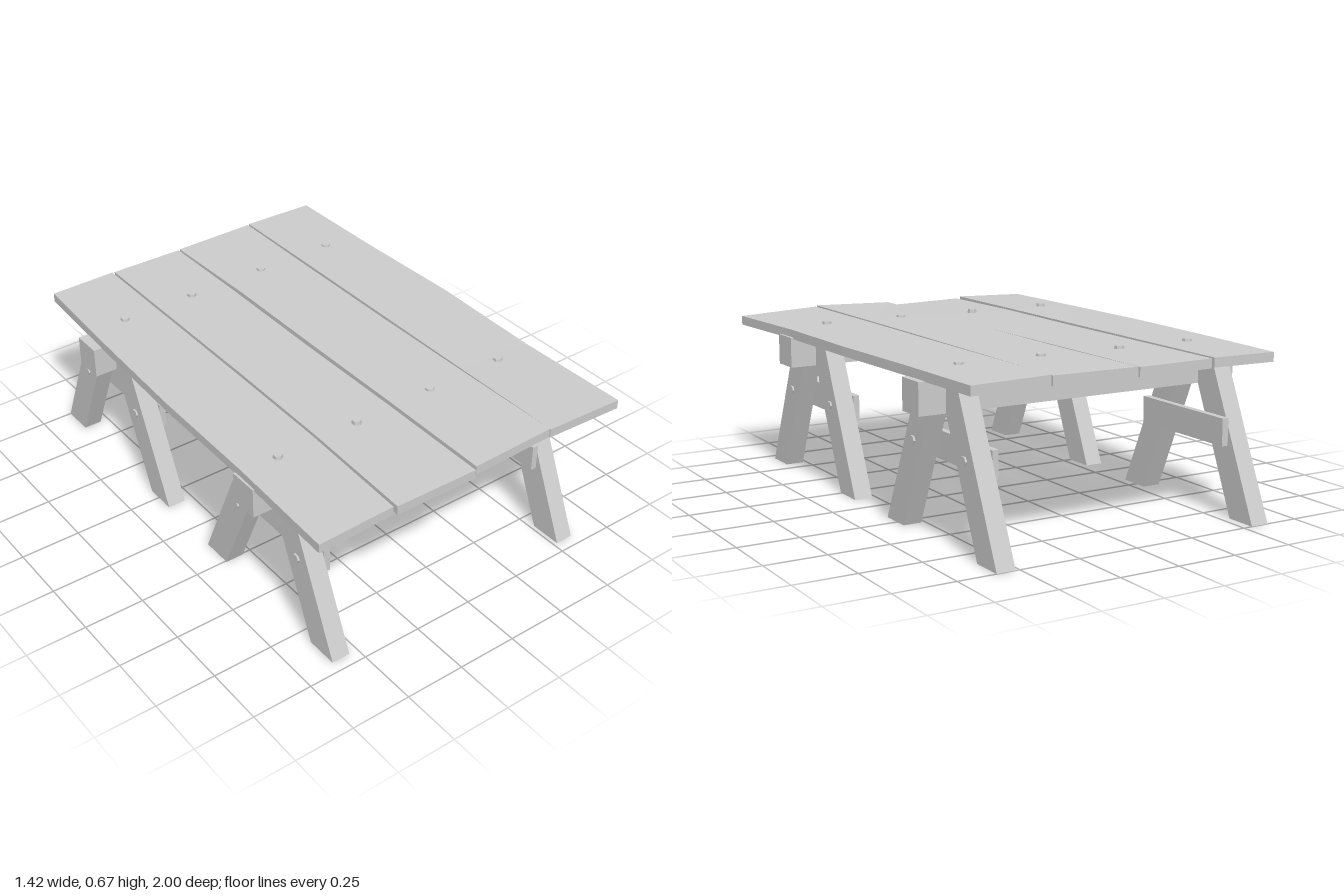
import * as THREE from 'three';

const material = new THREE.MeshStandardMaterial({ color: 0xcccccc, flatShading: true });

function add(parent, name, geometry, x = 0, y = 0, z = 0) {
  const mesh = new THREE.Mesh(geometry, material);
  mesh.name = name;
  mesh.position.set(x, y, z);
  parent.add(mesh);
  return mesh;
}

// Box spanning the given limits
function addBox(parent, name, x0, x1, y0, y1, z0, z1) {
  const geometry = new THREE.BoxGeometry(x1 - x0, y1 - y0, z1 - z0);
  return add(parent, name, geometry, (x0 + x1) / 2, (y0 + y1) / 2, (z0 + z1) / 2);
}

const boltGeometry = new THREE.CylinderGeometry(0.018, 0.023, 0.034, 6);

// Stations along each plank, from back to front
const STATIONS = [-0.96, -0.5, 0, 0.5, 1];
const THICKNESS = 0.038;

// Left and right edges in x, and the height of the top along each edge
const PLANKS = [
  {
    x0: [-0.65, -0.675, -0.695, -0.70, -0.715], x1: [-0.365, -0.367, -0.37, -0.376, -0.393],
    y0: [0.660, 0.660, 0.659, 0.656, 0.650], y1: [0.664, 0.664, 0.664, 0.664, 0.660],
  },
  {
    x0: [-0.353, -0.354, -0.355, -0.362, -0.374], x1: [-0.028, -0.024, -0.025, -0.019, -0.012],
    y0: [0.662, 0.661, 0.660, 0.660, 0.652], y1: [0.660, 0.660, 0.658, 0.655, 0.645],
  },
  {
    x0: [-0.021, -0.009, -0.010, -0.008, -0.010], x1: [0.344, 0.341, 0.340, 0.343, 0.350],
    y0: [0.662, 0.662, 0.662, 0.661, 0.660], y1: [0.665, 0.666, 0.667, 0.669, 0.671],
  },
  {
    x0: [0.350, 0.351, 0.352, 0.352, 0.355], x1: [0.672, 0.680, 0.698, 0.692, 0.710],
    y0: [0.668, 0.668, 0.667, 0.667, 0.666], y1: [0.662, 0.661, 0.660, 0.656, 0.650],
  },
];

// Warped plank: a segmented box with its edges moved onto the stations
function plankGeometry(p) {
  const geometry = new THREE.BoxGeometry(1, 1, 1, 1, 1, STATIONS.length - 1);
  const pos = geometry.attributes.position;
  for (let i = 0; i < pos.count; i++) {
    const s = Math.round((pos.getZ(i) + 0.5) * (STATIONS.length - 1));
    const right = pos.getX(i) > 0;
    const top = right ? p.y1[s] : p.y0[s];
    pos.setXYZ(i, right ? p.x1[s] : p.x0[s], pos.getY(i) > 0 ? top : top - THICKNESS, STATIONS[s]);
  }
  geometry.computeVertexNormals();
  return geometry;
}

// Slanted leg, cut flat at the foot and notched against the beam
function legGeometry(x0, x1, side) {
  const outline = [[0.415, 0], [0.281, 0], [0.062, 0.5], [0.062, 0.62], [0.140, 0.62]];
  // Shape x becomes -z after the turn below
  const shape = new THREE.Shape(outline.map(([z, y]) => new THREE.Vector2(-z * side, y)));
  const geometry = new THREE.ExtrudeGeometry(shape, { depth: x1 - x0, bevelEnabled: false });
  geometry.rotateY(Math.PI / 2);
  geometry.translate(x0, 0, 0);
  return geometry;
}

function createTrestle() {
  const trestle = new THREE.Group();
  addBox(trestle, 'beam', -0.71, 0.705, 0.5, 0.625, -0.062, 0.062);

  // Each end: two legs, an inner brace and two bolts through the outside
  const ends = [
    { legs: [-0.615, -0.538], brace: [-0.538, -0.51], bolt: -0.605 },
    { legs: [0.517, 0.594], brace: [0.491, 0.517], bolt: 0.584 },
  ];
  for (const end of ends) {
    for (const side of [-1, 1]) {
      add(trestle, 'leg', legGeometry(...end.legs, side));
      const bolt = add(trestle, 'legBolt', boltGeometry, end.bolt, 0.353, side * 0.194);
      bolt.rotation.z = -Math.sign(end.bolt) * Math.PI / 2;
    }
    addBox(trestle, 'crossBrace', ...end.brace, 0.285, 0.395, -0.256, 0.256);
  }
  return trestle;
}

export function createModel() {
  const table = new THREE.Group();
  table.name = 'trestleTable';

  // Table top
  const top = new THREE.Group();
  top.name = 'tableTop';
  table.add(top);
  for (const p of PLANKS) add(top, 'plank', plankGeometry(p));

  // Bolt heads over each beam
  const boltRows = [
    { z: -0.6, xs: [-0.515, -0.19, 0.165, 0.515] },
    { z: 0.53, xs: [-0.55, -0.19, 0.165, 0.515] },
  ];
  for (const row of boltRows) {
    for (const x of row.xs) add(top, 'plankBolt', boltGeometry, x, 0.656, row.z);
  }

  // Supports
  for (const [name, z] of [['frontTrestle', 0.537], ['backTrestle', -0.585]]) {
    const trestle = createTrestle();
    trestle.name = name;
    trestle.position.z = z;
    table.add(trestle);
  }
  return table;
}
